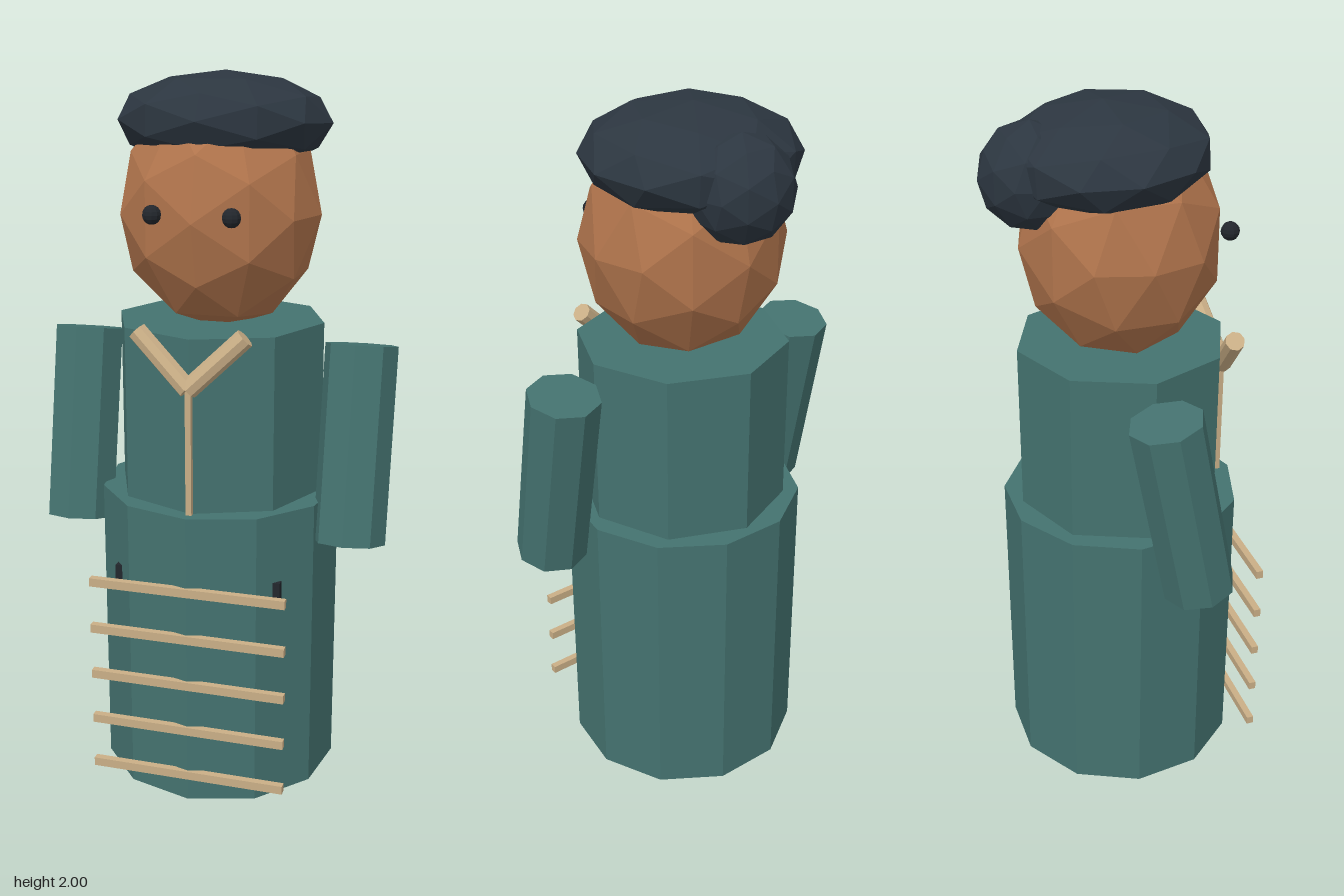
import * as THREE from 'three';

const mat = (color) => new THREE.MeshStandardMaterial({ color, flatShading: true });

export function createModel() {
  const model = new THREE.Group();
  const robe = mat(0x44726f), skin = mat(0xb0744c), hair = mat(0x2c3640);
  const trim = mat(0xc9ae86), dark = mat(0x22262c);

  const add = (name, geometry, material, x, y, z) => {
    const mesh = new THREE.Mesh(geometry, material);
    mesh.name = name;
    mesh.position.set(x, y, z);
    model.add(mesh);
    return mesh;
  };
  // Faceted ellipsoid
  const blob = (name, material, pos, radii, detail = 1) =>
    add(name, new THREE.IcosahedronGeometry(1, detail).scale(...radii), material, ...pos);
  // Cylinder running from a to b
  const rod = (name, material, a, b, radius, sides) => {
    const start = new THREE.Vector3(...a), end = new THREE.Vector3(...b);
    const dir = end.clone().sub(start);
    const mid = start.clone().add(end).multiplyScalar(0.5);
    const mesh = add(name, new THREE.CylinderGeometry(radius, radius, dir.length(), sides), material, mid.x, mid.y, mid.z);
    mesh.quaternion.setFromUnitVectors(new THREE.Vector3(0, 1, 0), dir.normalize());
    return mesh;
  };

  // Robe
  add('skirt', new THREE.CylinderGeometry(0.334, 0.334, 0.84, 11), robe, 0, 0.45, 0.015);
  add('torso', new THREE.CylinderGeometry(0.291, 0.291, 0.5, 8), robe, 0, 1.095, 0.016);

  // Head and hair with a bun at the back
  blob('head', skin, [0, 1.635, 0.012], [0.277, 0.32, 0.273]);
  blob('hairCap', hair, [0, 1.868, -0.025], [0.295, 0.132, 0.275]).rotation.x = -0.06;
  blob('hairBun', hair, [0, 1.825, -0.22], [0.14, 0.14, 0.138]);

  // Mirrored parts
  for (const [side, s] of [['left', 1], ['right', -1]]) {
    rod(side + 'Arm', robe, [s * 0.393, 0.76, 0.11], [s * 0.393, 1.29, 0.005], 0.1, 8);
    add(side + 'Eye', new THREE.SphereGeometry(0.025, 10, 8), dark, s * 0.105, 1.655, 0.278);
    rod(side + 'Collar', trim, [0, 1.215, 0.316], [s * 0.145, 1.355, 0.29], 0.027, 8);
    add(side + 'Clasp', new THREE.BoxGeometry(0.025, 0.065, 0.025), dark, s * 0.223, 0.643, 0.243);
    blob(side + 'Foot', dark, [s * 0.145, 0.05, 0.08], [0.1, 0.05, 0.155], 2);
  }

  // Front seam and skirt stripes
  add('frontSeam', new THREE.BoxGeometry(0.016, 0.35, 0.02), trim, 0, 1.04, 0.31);
  for (let i = 0; i < 5; i++) {
    add('stripe' + (i + 1), new THREE.BoxGeometry(0.548, 0.024, 0.02), trim, 0, 0.108 + i * 0.138, 0.347);
  }
  return model;
}
